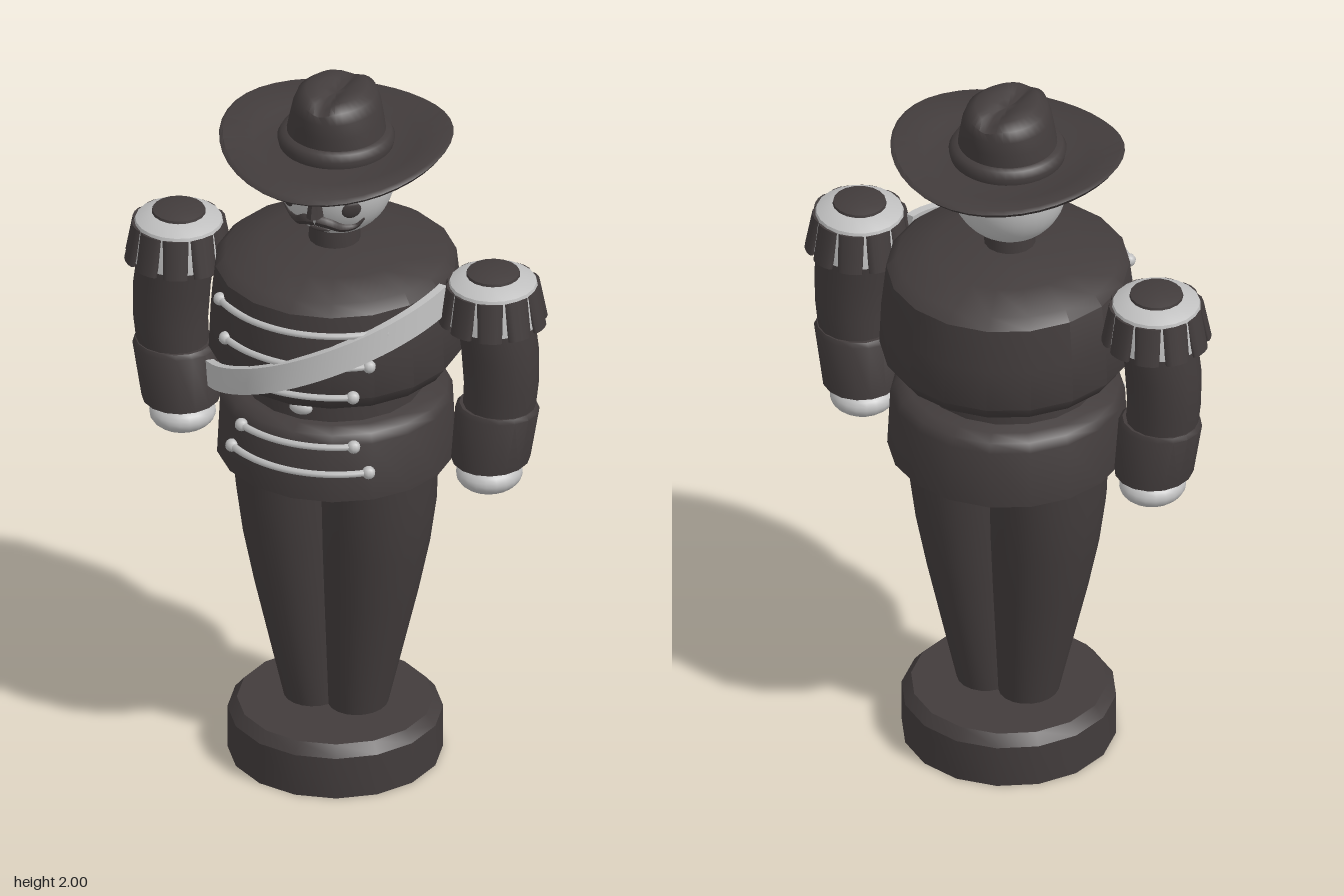
import * as THREE from 'three';
import { mergeVertices, toCreasedNormals } from 'three/addons/utils/BufferGeometryUtils.js';

const dark = new THREE.MeshStandardMaterial({ color: 0x423c3c });
dark.name = 'charcoal';
const light = new THREE.MeshStandardMaterial({ color: 0xbfbfbf });
light.name = 'pale grey';

export function createModel() {
  const model = new THREE.Group();
  model.name = 'toySoldier';

  function add(name, geo, mat, x = 0, y = 0, z = 0, parent = model) {
    const mesh = new THREE.Mesh(geo, mat);
    mesh.name = name;
    mesh.position.set(x, y, z);
    parent.add(mesh);
    return mesh;
  }

  // move every vertex by a rule, then rebuild normals
  function bend(geo, rule, crease) {
    const p = geo.attributes.position, v = new THREE.Vector3();
    for (let i = 0; i < p.count; i++) {
      rule(v.fromBufferAttribute(p, i));
      p.setXYZ(i, v.x, v.y, v.z);
    }
    geo.deleteAttribute('normal');
    geo.deleteAttribute('uv');
    return toCreasedNormals(mergeVertices(geo), crease);
  }

  // rings: [y, rx, rz, cx, cz] from bottom to top
  function loft(rings, seg = 18, crease = 0.7) {
    const geo = new THREE.LatheGeometry(rings.map((r, i) => new THREE.Vector2(1, i)), seg);
    return bend(geo, v => {
      const [y, rx, rz = rx, cx = 0, cz = 0] = rings[Math.round(v.y)];
      v.set(cx + v.x * rx, y, cz + v.z * rz);
    }, crease);
  }

  // hollow base
  add('base', loft([[0.12, 0], [0.12, 0.265], [0, 0.265], [0, 0.285], [0.12, 0.285],
    [0.15, 0.26], [0.15, 0]], 16, 0.5), dark, 0, 0, -0.005);

  // legs, each an oval column that touches its twin
  for (const s of [1, -1]) {
    const half = [[0.14, 0.14], [0.3, 0.178], [0.5, 0.225], [0.65, 0.256], [0.78, 0.274], [0.93, 0.28]];
    const rings = half.map(([y, w]) => [y, w * 0.56, w * 0.6, s * w * 0.44, -0.01]);
    add(s > 0 ? 'leftLeg' : 'rightLeg', loft(rings, 20), dark);
  }

  // coat
  add('coatSkirt', loft([[0.915, 0], [0.915, 0.318], [1.08, 0.31], [1.105, 0.298], [1.12, 0.27], [1.12, 0]],
    18), dark, 0, 0, -0.012);
  add('waist', loft([[1.1, 0.24], [1.2, 0.235]], 18), dark);
  add('torso', loft([[1.18, 0], [1.18, 0.275], [1.2, 0.31, 0.318], [1.24, 0.338, 0.346], [1.36, 0.333, 0.341],
    [1.48, 0.32, 0.328], [1.505, 0.295], [1.53, 0.2], [1.55, 0.08], [1.55, 0]], 18), dark, 0, 0, -0.01);
  add('neck', loft([[1.53, 0.07], [1.62, 0.065]], 16), dark);

  // cords with a button at each end
  function cord(name, y, half, R) {
    const a = Math.asin(half / R), pts = [];
    for (let i = 0; i <= 10; i++) {
      const t = a * (i / 5 - 1);
      pts.push(new THREE.Vector3(R * Math.sin(t), y, R * Math.cos(t) - 0.01));
    }
    add(name, new THREE.TubeGeometry(new THREE.CatmullRomCurve3(pts), 24, 0.01, 6), light);
    for (const p of [pts[0], pts[10]]) {
      add(name + 'Button', new THREE.SphereGeometry(0.018, 10, 8), light, p.x, p.y, p.z);
    }
  }
  cord('chestCordTop', 1.428, 0.235, 0.333);
  cord('chestCordMiddle', 1.335, 0.205, 0.341);
  cord('chestCordBottom', 1.248, 0.17, 0.345);
  cord('skirtCordTop', 1.08, 0.16, 0.314);
  cord('skirtCordBottom', 1.0, 0.195, 0.318);
  add('buckle', new THREE.SphereGeometry(1, 14, 10), light, 0, 1.155, 0.237).scale.set(0.033, 0.02, 0.018);

  // sash wrapped around the front of the chest
  add('sash', bend(new THREE.BoxGeometry(1, 0.078, 0.022, 28, 2, 1), v => {
    const t = THREE.MathUtils.lerp(-0.9, 1.42, v.x + 0.5);
    const y = 1.19 + (0.347 * Math.sin(t) + 0.27) * 0.433 + v.y;
    const r = 0.347 - 0.07 * Math.abs(y - 1.25) + v.z;
    v.set(r * Math.sin(t), y, r * Math.cos(t) * 1.02 - 0.008);
  }, 0.7), light);

  // arms
  for (const s of [1, -1]) {
    const arm = new THREE.Group();
    arm.name = s > 0 ? 'leftArm' : 'rightArm';
    model.add(arm);
    add('sleeve', loft([[1.1, 0.096, 0.09, s * 0.463], [1.2, 0.1, 0.092, s * 0.471], [1.3, 0.104, 0.096, s * 0.468],
      [1.42, 0.104, 0.1, s * 0.452]], 16), dark, 0, 0, -0.01, arm);
    add('cuff', loft([[0.97, 0, 0, s * 0.441], [0.97, 0.104, 0.11, s * 0.441], [1.125, 0.113, 0.102, s * 0.46],
      [1.138, 0.104, 0.096, s * 0.462], [1.138, 0, 0, s * 0.462]], 16), dark, 0, 0, -0.01, arm);
    add('hand', new THREE.SphereGeometry(1, 20, 14), light, s * 0.437, 0.923, -0.01, arm)
      .scale.set(0.088, 0.048, 0.092);

    // shoulder piece with hanging fringe
    const shoulder = new THREE.Group();
    shoulder.name = 'shoulderPiece';
    shoulder.position.set(s * 0.448, 0, -0.01);
    arm.add(shoulder);
    add('shoulderCap', loft([[1.4, 0], [1.4, 0.13], [1.49, 0.12], [1.505, 0.115], [1.525, 0.075], [1.525, 0]], 20),
      light, 0, 0, 0, shoulder);
    add('shoulderButton', loft([[1.515, 0.074], [1.532, 0.07], [1.539, 0.045], [1.541, 0]], 18),
      dark, 0, 0, 0, shoulder);
    for (let i = 0; i < 10; i++) {
      const pivot = new THREE.Group();
      pivot.name = 'fringe';
      pivot.rotation.y = (i + 0.5) * Math.PI / 5;
      shoulder.add(pivot);
      const lobe = add('fringeLobe', new THREE.CylinderGeometry(0.036, 0.034, 0.108, 10), dark, 0, 1.443, 0.122, pivot);
      lobe.rotation.x = -0.2;
      lobe.scale.z = 0.4;
    }
  }

  // head and face
  const HX = 0.158, HY = 0.16, HZ = 0.147, CY = 1.735, CZ = -0.008;
  add('head', new THREE.SphereGeometry(1, 32, 24), light, 0, CY, CZ).scale.set(HX, HY, HZ);
  const onFace = (x, y) => new THREE.Vector3(x, y,
    CZ + HZ * Math.sqrt(1 - (x / HX) ** 2 - ((y - CY) / HY) ** 2));
  function spot(name, x, y, rx, ry) {
    const p = onFace(x, y);
    const m = add(name, new THREE.SphereGeometry(1, 14, 8), dark, p.x, p.y, p.z);
    m.lookAt(p.x * 2, p.y * 2 - CY, p.z * 2 - CZ);
    m.scale.set(rx, ry, 0.008);
  }
  for (const s of [1, -1]) {
    spot('eye', s * 0.068, 1.766, 0.016, 0.02);
    spot('cheek', s * 0.092, 1.705, 0.027, 0.026);

    // tapering half of the moustache
    const curve = new THREE.CatmullRomCurve3([[0, 1.668], [0.03, 1.661], [0.06, 1.643], [0.09, 1.643], [0.115, 1.668]]
      .map(([x, y]) => onFace(s * x, y)));
    const geo = new THREE.TubeGeometry(curve, 16, 0.018, 8), p = geo.attributes.position, v = new THREE.Vector3();
    for (let i = 0; i < p.count; i++) {
      const t = Math.floor(i / 9) / 16;
      v.fromBufferAttribute(p, i).lerp(curve.getPointAt(t), t ** 2 * 0.85);
      p.setXYZ(i, v.x, v.y, v.z);
    }
    geo.computeVertexNormals();
    add('moustache', geo, dark);
  }
  spot('lip', 0, 1.627, 0.03, 0.007);
  add('nose', loft([[1.685, 0], [1.685, 0.023, 0.032], [1.735, 0.017, 0.02], [1.778, 0.012, 0.012], [1.778, 0]], 8),
    dark, 0, 0, 0.136);

  // hat: turned profile with curled brim, tapered and creased crown
  const hatProfile = [[0, 1.815], [0.14, 1.808], [0.22, 1.808], [0.3, 1.812], [0.31, 1.822], [0.3, 1.832],
    [0.22, 1.828], [0.152, 1.832], [0.156, 1.852], [0.146, 1.87], [0.132, 1.874], [0.133, 1.91], [0.133, 1.95],
    [0.126, 1.98], [0.1, 1.998], [0.06, 2.0], [0.03, 2.0], [0, 2.0]].map(([x, y]) => new THREE.Vector2(x, y));
  add('hat', bend(new THREE.LatheGeometry(hatProfile, 40), v => {
    const r = Math.hypot(v.x, v.z);
    if (v.y < 1.84 && r > 0.14) {
      const k = (r - 0.14) / 0.17;
      v.y += k * k * (0.042 * (v.x / r) ** 2 - 0.006 * v.z / r) - 0.03 * v.z * k;
    } else if (v.y > 1.87) {
      const t = (v.y - 1.87) / 0.13;
      const dent = Math.exp(-((v.x / 0.035) ** 2)) * THREE.MathUtils.smoothstep(v.y, 1.96, 2.0);
      v.y -= 0.02 * dent;
      v.x *= 1 - 0.2 * t - 0.12 * t * Math.max(0, v.z / 0.13);
    }
  }, 0.9), dark, 0, 0, -0.012);

  return model;
}
